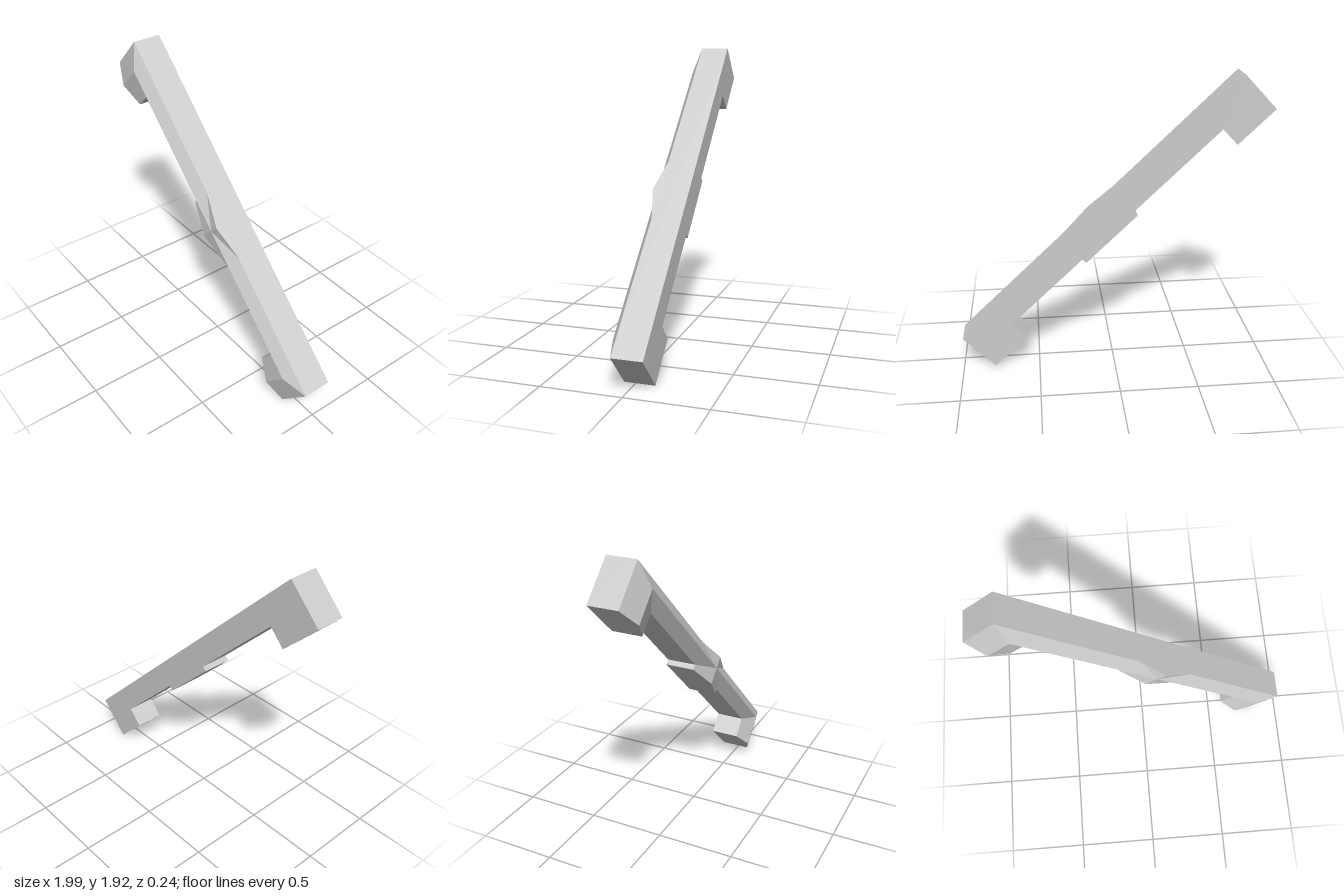
import * as THREE from 'three';

const BACK = -0.12, EAVE = 0.07, RIDGE = 0.12;
const LENGTH = 2.465, BAR = 0.157, BAR_MID = 0.08, LEG = 0.296, TAB = 0.192;
const MID = 1.295, HALF = 0.227; // centre and half width of the middle tab

// u runs down along the bar from its upper corner, v runs from its outer edge towards the legs
const at = (u, v, z = EAVE) => new THREE.Vector3(-0.79 + 0.724 * u - 0.69 * v, 1.915 - 0.69 * u - 0.724 * v, z);
const FRONT = new THREE.Vector3(0, 0, 1);
const INNER = new THREE.Vector3(-0.69, -0.724, 0);
const OUTER = INNER.clone().negate();

export function createModel() {
  const group = new THREE.Group();
  const material = new THREE.MeshStandardMaterial({ color: 0xcccccc, flatShading: true });

  const add = (name, geometry) => {
    const mesh = new THREE.Mesh(geometry, material);
    mesh.name = name;
    group.add(mesh);
  };

  // Flat faces, each turned so that it looks along its given direction
  const addFaces = (name, faces) => {
    const points = [];
    for (const [facing, ...corners] of faces) {
      for (let i = 1; i < corners.length - 1; i++) {
        const [a, b, c] = [corners[0], corners[i], corners[i + 1]];
        const normal = b.clone().sub(a).cross(c.clone().sub(a));
        points.push(...(normal.dot(facing) < 0 ? [a, c, b] : [a, b, c]));
      }
    }
    const geometry = new THREE.BufferGeometry().setFromPoints(points);
    geometry.computeVertexNormals();
    add(name, geometry);
  };

  // Upright body: long bar, a leg at each end, shallow tab in the middle
  const ends = [
    { name: 'upper', u: 0, width: 0.317, dir: 1 },
    { name: 'lower', u: LENGTH, width: 0.3, dir: -1 },
  ];
  const upperIn = ends[0].width, lowerIn = LENGTH - ends[1].width;
  const outline = [
    [0, 0], [LENGTH, 0], [LENGTH, LEG], [lowerIn, LEG], [lowerIn, BAR],
    [MID + HALF, BAR], [MID + HALF, TAB], [MID - HALF, TAB], [MID - HALF, BAR],
    [upperIn, BAR], [upperIn, LEG], [0, LEG],
  ].map(([u, v]) => at(u, v));
  const body = new THREE.ExtrudeGeometry(new THREE.Shape(outline), { depth: EAVE - BACK, bevelEnabled: false });
  body.translate(0, 0, BACK);
  add('body', body);

  const middle = at(MID, BAR_MID, RIDGE);
  const tabEnd = at(MID, TAB, RIDGE), gableTop = at(MID, 0, RIDGE);

  for (const { name, u, width, dir } of ends) {
    const inside = u + dir * width, ridge = u + dir * width / 2;
    const corner = at(u, 0), elbow = at(ridge, BAR_MID, RIDGE), foot = at(ridge, LEG, RIDGE);
    const crook = at(inside, BAR);
    const side = MID - dir * HALF;

    // Ridged front of the leg, mitred into the bar
    addFaces(name + 'LegRidge', [
      [FRONT, corner, at(u, LEG), foot, elbow],
      [FRONT, elbow, foot, at(inside, LEG), crook],
      [INNER, at(u, LEG), at(inside, LEG), foot],
    ]);
    // Ridged front of the bar from the leg to the middle
    addFaces(name + 'BarRidge', [
      [FRONT, corner, elbow, middle, at(side, 0)],
      [FRONT, elbow, crook, at(side, BAR), middle],
    ]);
    // Half of the wide cross ridge over the middle tab
    addFaces(name + 'TabRidge', [
      [FRONT, at(side, 0), middle, gableTop],
      [FRONT, middle, at(side, BAR), at(side, TAB), tabEnd],
      [OUTER, at(side, 0), at(MID, 0), gableTop],
      [INNER, at(side, TAB), at(MID, TAB), tabEnd],
    ]);
  }
  return group;
}
